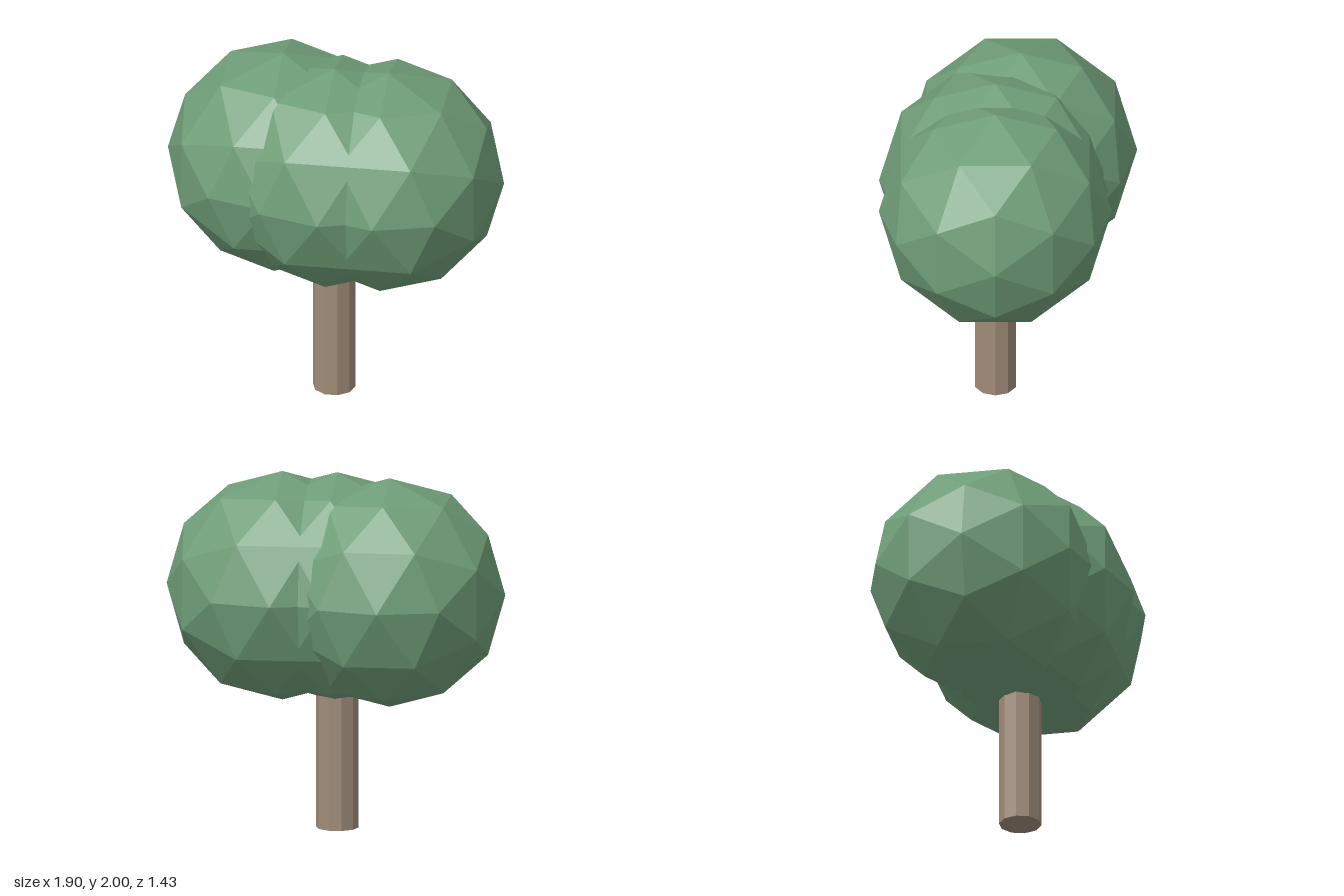
import * as THREE from 'three';

export function createModel() {
  const model = new THREE.Group();
  model.name = 'tree';

  const leafGreen = new THREE.MeshStandardMaterial({ color: 0x6f9d78, flatShading: true });
  leafGreen.name = 'leaf green';
  const barkBrown = new THREE.MeshStandardMaterial({ color: 0xa08c79, flatShading: true });
  barkBrown.name = 'bark brown';

  // Trunk: ten-sided post with corners on the x axis
  const trunkHeight = 1.1;
  const trunk = new THREE.Mesh(
    new THREE.CylinderGeometry(0.118, 0.118, trunkHeight, 10).rotateY(Math.PI / 2),
    barkBrown
  );
  trunk.name = 'trunk';
  trunk.position.set(0, trunkHeight / 2, 0.068);
  model.add(trunk);

  // Foliage: three equal faceted balls that run into each other
  const ball = new THREE.IcosahedronGeometry(0.644, 1).rotateY(Math.PI / 2);
  const clumps = [
    ['foliageRight', -0.306, -0.07],
    ['foliageMiddle', 0, 0.068],
    ['foliageLeft', 0.306, 0.068],
  ];
  for (const [name, x, z] of clumps) {
    const clump = new THREE.Mesh(ball, leafGreen);
    clump.name = name;
    clump.position.set(x, 1.356, z);
    model.add(clump);
  }

  return model;
}
